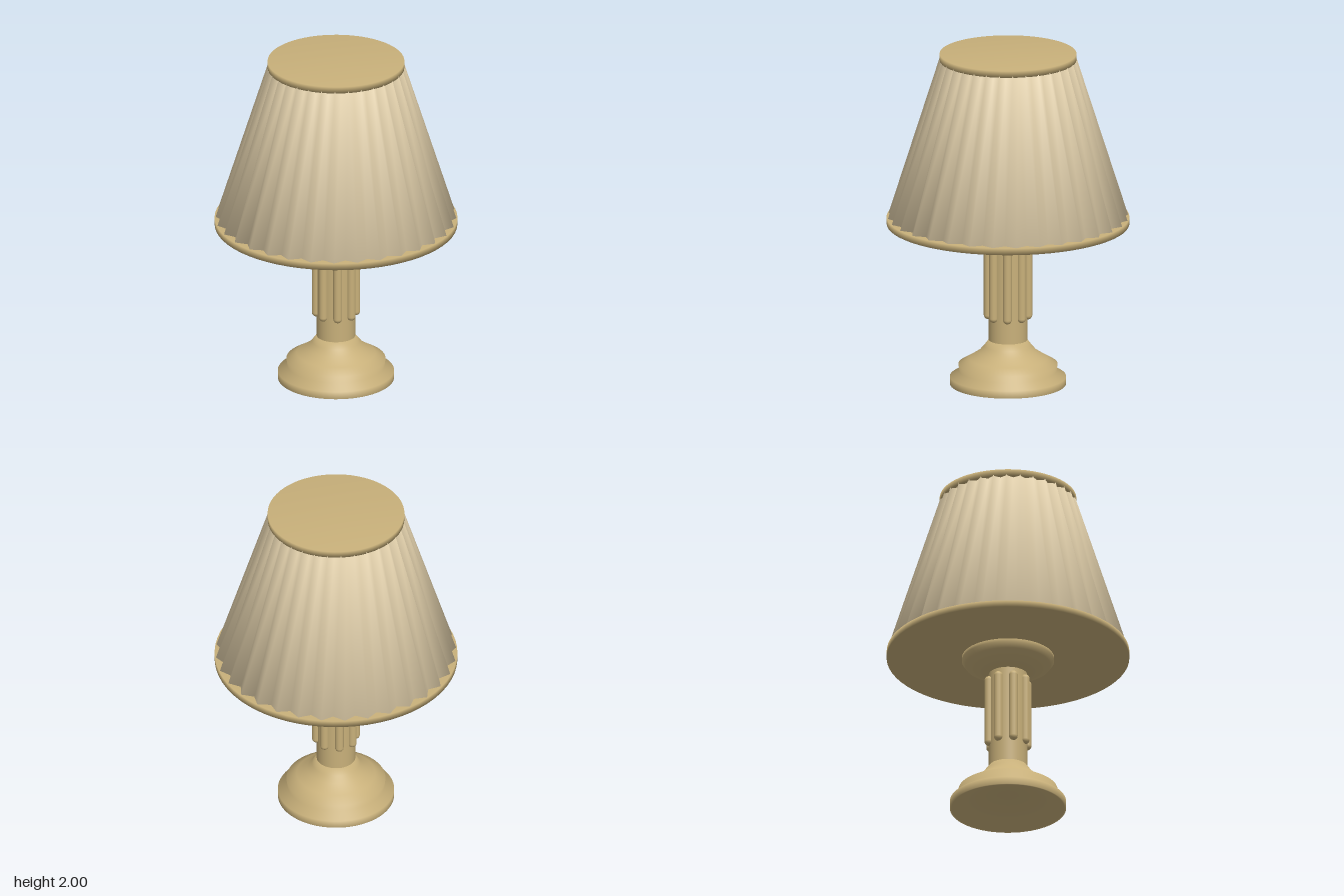
import * as THREE from 'three';

const brass = new THREE.MeshStandardMaterial({ color: 0xc8b07a });
const fabric = new THREE.MeshStandardMaterial({ color: 0xe3d1ac, side: THREE.DoubleSide });

// Smooth turned part from a profile of [radius, height] pairs
function turned(name, profile) {
  const points = profile.map(([r, y]) => new THREE.Vector2(r, y));
  const mesh = new THREE.Mesh(new THREE.LatheGeometry(points, 64), brass);
  mesh.name = name;
  return mesh;
}

// Closed pleated cone: zigzag rings of ridges and valleys, capped at both ends
function pleatedShade(pleats, bottom, top) {
  const n = pleats * 2;
  const positions = [];
  const index = [];
  for (const { y, ridge, valley } of [bottom, top]) {
    for (let i = 0; i < n; i++) {
      const a = (i / n) * Math.PI * 2;
      const r = i % 2 ? ridge : valley;
      positions.push(r * Math.sin(a), y, r * Math.cos(a));
    }
  }
  positions.push(0, bottom.y, 0, 0, top.y, 0);
  for (let i = 0; i < n; i++) {
    const j = (i + 1) % n;
    index.push(i, j, n + j, i, n + j, n + i);
    index.push(2 * n, j, i, 2 * n + 1, n + i, n + j);
  }
  const geometry = new THREE.BufferGeometry();
  geometry.setAttribute('position', new THREE.Float32BufferAttribute(positions, 3));
  geometry.setIndex(index);
  geometry.computeVertexNormals();
  return geometry;
}

export function createModel() {
  const lamp = new THREE.Group();
  lamp.name = 'tableLamp';

  // Stepped foot with a dished underside
  lamp.add(turned('base', [
    [0, 0.09], [0.12, 0.08], [0.23, 0.05], [0.33, 0], [0.34, 0], [0.34, 0.045], [0.285, 0.08],
    [0.29, 0.12], [0.23, 0.155], [0.17, 0.195], [0.14, 0.23], [0.11, 0.27], [0, 0.27],
  ]));

  // Plain column
  const column = new THREE.Mesh(new THREE.CylinderGeometry(0.113, 0.113, 0.62, 48), brass);
  column.name = 'column';
  column.position.y = 0.57;
  lamp.add(column);

  // Eight round-ended rods set into the column
  const rods = new THREE.Group();
  rods.name = 'columnRods';
  const rodGeometry = new THREE.CapsuleGeometry(0.026, 0.393, 6, 16);
  for (let i = 0; i < 8; i++) {
    const a = (i / 8) * Math.PI * 2;
    const rod = new THREE.Mesh(rodGeometry, brass);
    rod.name = 'rod';
    rod.position.set(0.116 * Math.sin(a), 0.612, 0.116 * Math.cos(a));
    rods.add(rod);
  }
  lamp.add(rods);

  // Flared collar carrying the shade
  lamp.add(turned('collar', [
    [0, 0.86], [0.113, 0.86], [0.18, 0.89], [0.25, 0.92], [0.27, 0.95], [0.27, 0.98], [0, 0.98],
  ]));

  // Shade with its two rim discs
  lamp.add(turned('shadeBottomDisc', [[0, 0.97], [0.71, 0.97], [0.71, 1.01], [0, 1.01]]));
  const shade = new THREE.Mesh(pleatedShade(32,
    { y: 0.99, ridge: 0.71, valley: 0.665 },
    { y: 1.97, ridge: 0.4, valley: 0.372 }), fabric);
  shade.name = 'pleatedShade';
  lamp.add(shade);
  lamp.add(turned('shadeTopDisc', [[0, 1.96], [0.4, 1.96], [0.4, 2], [0, 2]]));

  return lamp;
}
